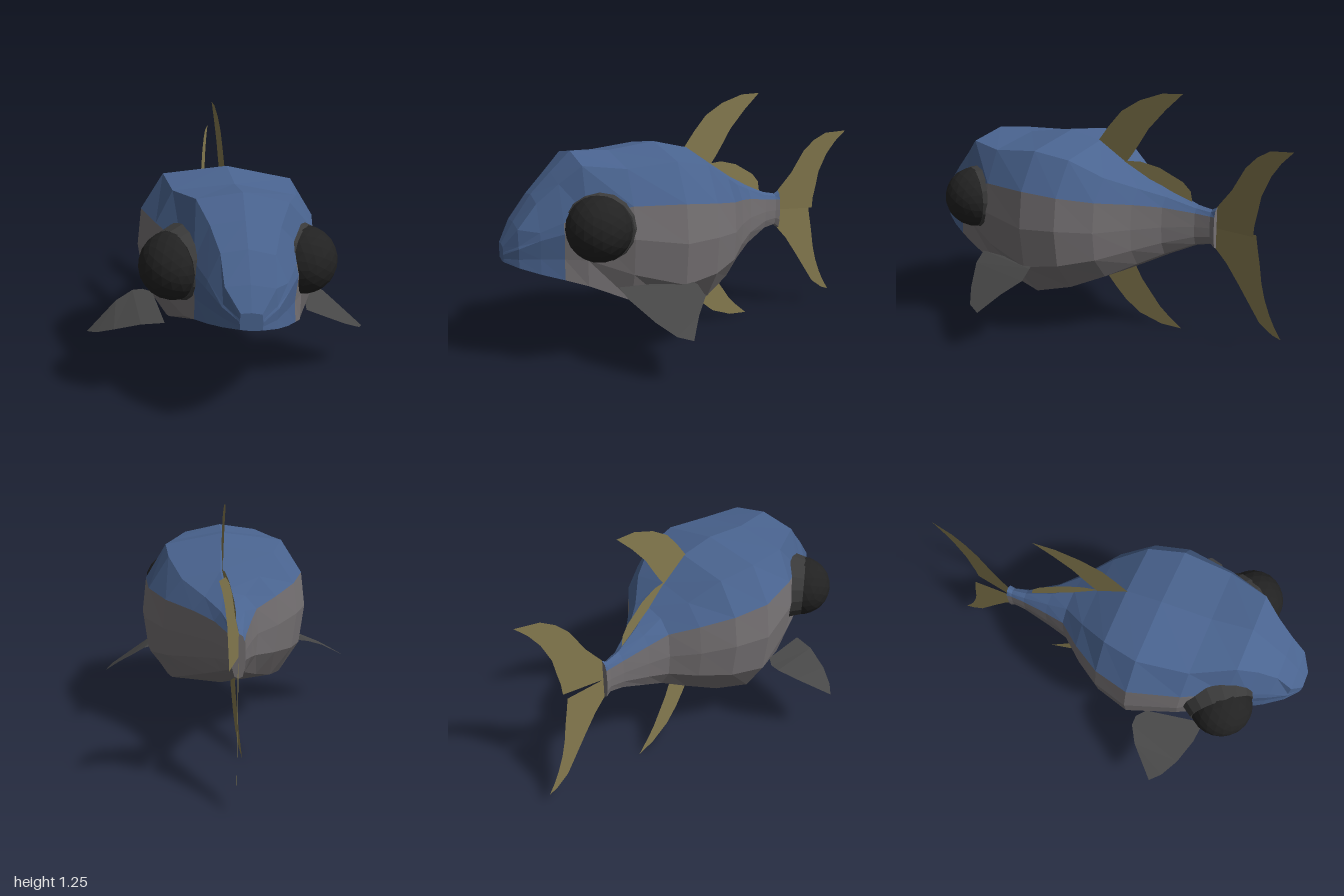
import * as THREE from 'three';

const mat = (name, color, opts = {}) => {
  const m = new THREE.MeshStandardMaterial({ color, flatShading: true, ...opts });
  m.name = name;
  return m;
};

function meshFrom(name, positions, material) {
  const g = new THREE.BufferGeometry();
  g.setAttribute('position', new THREE.Float32BufferAttribute(positions, 3));
  g.computeVertexNormals();
  const m = new THREE.Mesh(g, material);
  m.name = name;
  return m;
}

// Body stations, nose to tail: z, centre x, top, bottom, half width, colour line y, shoulder and keel width fractions
const STATIONS = [
  [1.0, 0.06, 0.59, 0.51, 0.05, 0.56, 0.9, 0.95],
  [0.94, 0.06, 0.69, 0.487, 0.12, 0.6, 0.9, 0.97],
  [0.85, 0.055, 0.815, 0.455, 0.18, 0.67, 0.65, 0.97],
  [0.75, 0.05, 0.915, 0.425, 0.235, 0.72, 0.65, 0.96],
  [0.65, 0.045, 1.01, 0.39, 0.285, 0.76, 0.72, 0.93],
  [0.45, 0.02, 1.0, 0.3, 0.385, 0.8, 0.74, 0.82],
  [0.2, -0.005, 1.03, 0.2, 0.445, 0.8, 0.7, 0.7],
  [0.02, -0.005, 0.99, 0.245, 0.4, 0.78, 0.68, 0.66],
  [-0.13, -0.015, 0.89, 0.31, 0.295, 0.75, 0.66, 0.62],
  [-0.25, -0.045, 0.815, 0.37, 0.165, 0.72, 0.6, 0.6],
  [-0.36, -0.09, 0.762, 0.425, 0.095, 0.695, 0.6, 0.6],
  [-0.5, -0.122, 0.7, 0.49, 0.04, 0.665, 0.6, 0.6],
  [-0.575, -0.13, 0.685, 0.505, 0.028, 0.655, 0.6, 0.6],
  [-0.6, -0.13, 0.7, 0.485, 0.032, 0.655, 0.6, 0.6],
];

function section([z, cx, top, bot, w, belt, sh, keel]) {
  const h = top - bot;
  const half = [
    [sh * w, top - 0.06 * h], [0.95 * w, belt], [w, bot + 0.5 * h],
    [0.94 * w, bot + 0.25 * h], [keel * w, bot + 0.05 * h],
  ];
  const ring = [[0, top], ...half, [0, bot], ...half.slice().reverse().map(([x, y]) => [-x, y])];
  // slight roll of the body
  return ring.map(([x, y]) => [cx + x, y - 0.05 * x, z]);
}

function buildBody(blue, grey) {
  const rings = STATIONS.map(section);
  const n = rings[0].length;
  const back = [], belly = [];
  for (let i = 0; i < rings.length - 1; i++) {
    for (let j = 0; j < n; j++) {
      const k = (j + 1) % n;
      const [a, b, c, d] = [rings[i][j], rings[i][k], rings[i + 1][k], rings[i + 1][j]];
      const isBlue = i < 3 || j < 2 || j >= n - 2;
      (isBlue ? back : belly).push(...a, ...b, ...c, ...a, ...c, ...d);
    }
  }
  // end caps
  const first = rings[0], last = rings[rings.length - 1];
  for (let j = 0; j < n; j++) {
    const k = (j + 1) % n;
    back.push(0.06, 0.55, 1.0, ...first[k], ...first[j]);
    belly.push(-0.13, 0.59, -0.6, ...last[j], ...last[k]);
  }
  return [meshFrom('snoutAndBack', back, blue), meshFrom('sidesAndBelly', belly, grey)];
}

// Thin fin: strip between a leading and a trailing edge of [x, y, z] points
function fin(name, lead, trail, material) {
  const p = [];
  for (let i = 0; i < lead.length - 1; i++) {
    p.push(...lead[i], ...trail[i], ...trail[i + 1], ...lead[i], ...trail[i + 1], ...lead[i + 1]);
  }
  return meshFrom(name, p, material);
}

// Upright fin given by [z, y] edges, with x following a bend rule
function uprightFin(name, lead, trail, bend, material) {
  const place = ([z, y]) => [bend(z), y, z];
  return fin(name, lead.map(place), trail.map(place), material);
}

function eye(side, pos, normal, eyeMat, socketMat) {
  const g = new THREE.Group();
  g.name = side + 'Eye';
  const ball = new THREE.Mesh(new THREE.IcosahedronGeometry(0.158, 3), eyeMat);
  ball.name = side + 'Eyeball';
  const socket = new THREE.Mesh(new THREE.CylinderGeometry(0.165, 0.19, 0.08, 16).rotateX(Math.PI / 2), socketMat);
  socket.name = side + 'EyeSocket';
  socket.scale.y = 0.95;
  socket.position.z = -0.025;
  g.add(ball, socket);
  g.position.set(...pos);
  g.lookAt(pos[0] + normal[0], pos[1] + normal[1], pos[2] + normal[2]);
  return g;
}

export function createModel() {
  const blue = mat('blueBack', 0x4a6490);
  const grey = mat('greyFlank', 0x757173);
  const gold = mat('goldFin', 0x857a4f, { side: THREE.DoubleSide });
  const darkFin = mat('darkFin', 0x474747, { side: THREE.DoubleSide });
  const black = mat('eyeBlack', 0x222222);
  const socket = mat('socketGrey', 0x3a3a3a);

  const model = new THREE.Group();
  model.name = 'fish';
  model.add(...buildBody(blue, grey));

  // eyes
  model.add(
    eye('left', [0.323, 0.68, 0.595], [0.88, 0, 0.48], black, socket),
    eye('right', [-0.263, 0.68, 0.645], [-0.77, 0, 0.64], black, socket),
  );

  // dorsal fins
  model.add(uprightFin('frontDorsalFin',
    [[0.04, 0.97], [0.03, 0.99], [-0.03, 1.07], [-0.1, 1.15], [-0.2, 1.21], [-0.32, 1.25], [-0.43, 1.255]],
    [[-0.1, 0.85], [-0.13, 0.89], [-0.16, 0.93], [-0.2, 0.99], [-0.25, 1.07], [-0.34, 1.17], [-0.43, 1.255]],
    (z) => -0.012 + 0.11 * z, gold));
  model.add(uprightFin('rearDorsalFin',
    [[-0.12, 0.895], [-0.2, 0.9], [-0.3, 0.875], [-0.42, 0.81], [-0.46, 0.765], [-0.47, 0.71]],
    [[-0.12, 0.86], [-0.2, 0.81], [-0.3, 0.76], [-0.4, 0.71], [-0.45, 0.69], [-0.47, 0.68]],
    (z) => 0.01 + 0.26 * z, gold));

  // ventral fin
  model.add(uprightFin('ventralFin',
    [[0.02, 0.27], [-0.04, 0.19], [-0.1, 0.12], [-0.18, 0.055], [-0.3, 0.01], [-0.41, 0]],
    [[-0.14, 0.35], [-0.19, 0.25], [-0.24, 0.18], [-0.29, 0.11], [-0.34, 0.06], [-0.41, 0]],
    (z) => -0.06 + 0.2 * z, gold));

  // forked tail
  model.add(uprightFin('upperTailFin',
    [[-0.59, 0.59], [-0.59, 0.69], [-0.68, 0.8], [-0.75, 0.92], [-0.81, 0.98], [-0.88, 1.02], [-1, 1.03]],
    [[-0.81, 0.59], [-0.815, 0.65], [-0.83, 0.72], [-0.845, 0.8], [-0.89, 0.9], [-0.94, 0.97], [-1, 1.03]],
    (z) => -0.13 - 0.15 * (z + 0.6), gold));
  model.add(uprightFin('lowerTailFin',
    [[-0.59, 0.59], [-0.59, 0.495], [-0.66, 0.42], [-0.73, 0.32], [-0.79, 0.23], [-0.85, 0.14], [-0.92, 0.09], [-0.965, 0.075]],
    [[-0.81, 0.59], [-0.82, 0.53], [-0.835, 0.45], [-0.85, 0.35], [-0.87, 0.27], [-0.9, 0.19], [-0.93, 0.13], [-0.965, 0.075]],
    (z) => -0.13 + 0.03 * (z + 0.6), gold));

  // pectoral fins, swept slightly differently
  model.add(fin('leftPectoralFin',
    [[0.36, 0.4, 0.52], [0.44, 0.36, 0.5], [0.57, 0.28, 0.42], [0.655, 0.23, 0.35], [0.68, 0.21, 0.28]],
    [[0.38, 0.4, 0.17], [0.43, 0.39, 0.15], [0.5, 0.35, 0.14], [0.58, 0.29, 0.21], [0.68, 0.21, 0.28]], darkFin));
  model.add(fin('rightPectoralFin',
    [[-0.31, 0.38, 0.6], [-0.42, 0.37, 0.59], [-0.55, 0.33, 0.55], [-0.64, 0.295, 0.5], [-0.69, 0.28, 0.45]],
    [[-0.38, 0.42, 0.3], [-0.43, 0.42, 0.26], [-0.48, 0.415, 0.26], [-0.56, 0.38, 0.31], [-0.69, 0.28, 0.45]], darkFin));

  return model;
}
